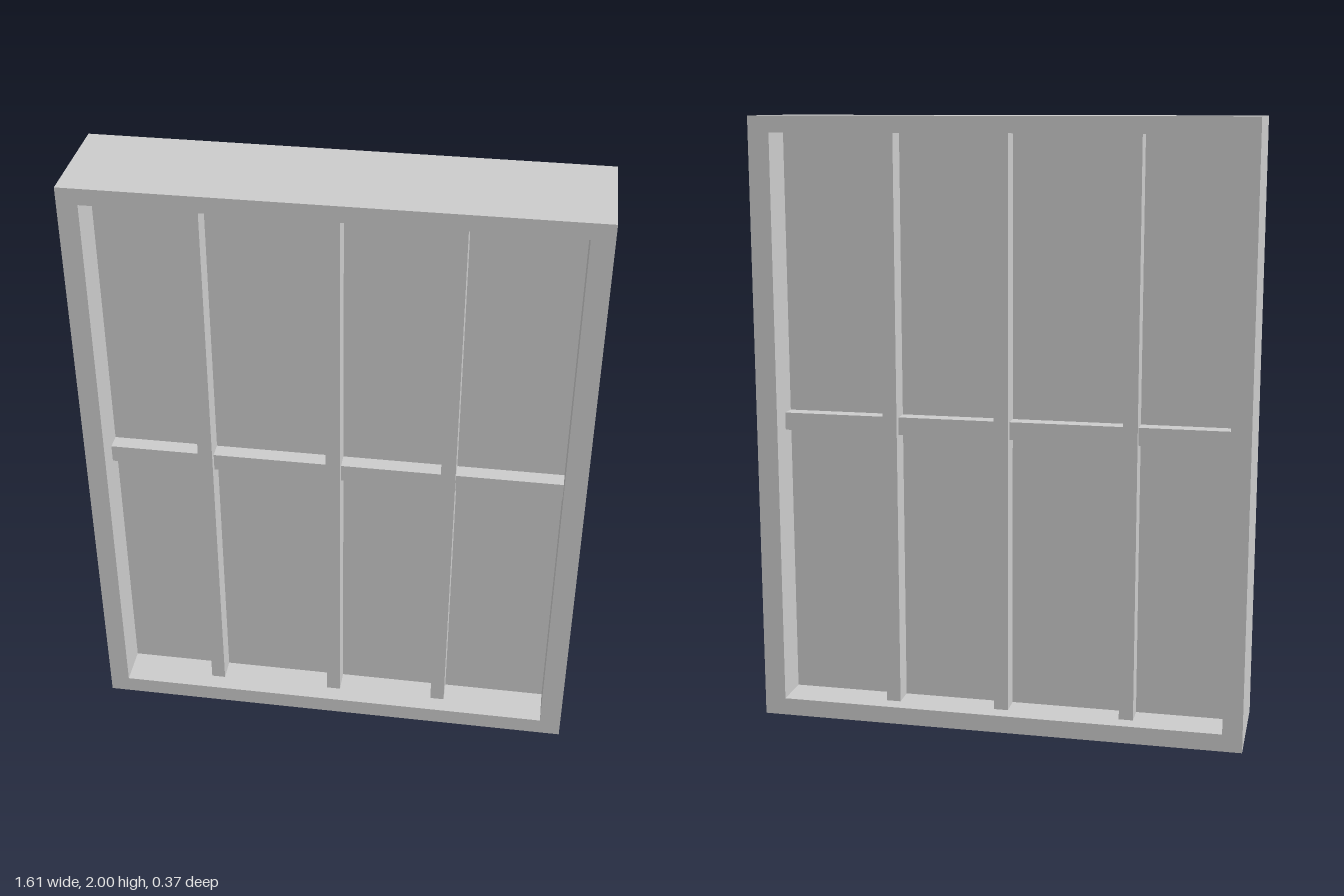
import * as THREE from 'three';

export function createModel() {
  const group = new THREE.Group();
  const material = new THREE.MeshStandardMaterial({ color: 0xcccccc, flatShading: true });

  // Opening inside the frame
  const L = -0.74, R = 0.735, B = 0.058, T = 1.948;

  const add = (name, geometry) => {
    const mesh = new THREE.Mesh(geometry, material);
    mesh.name = name;
    group.add(mesh);
  };
  // Box between two x and two y values, centred on z
  const addBox = (name, x0, x1, y0, y1, depth) => {
    const geometry = new THREE.BoxGeometry(x1 - x0, y1 - y0, depth);
    add(name, geometry.translate((x0 + x1) / 2, (y0 + y1) / 2, 0));
  };
  const rectangle = (target, x0, x1, y0, y1) =>
    target.moveTo(x0, y0).lineTo(x1, y0).lineTo(x1, y1).lineTo(x0, y1).closePath();

  // Outer frame with a rectangular opening
  const outline = rectangle(new THREE.Shape(), -0.805, 0.805, 0, 2);
  outline.holes.push(rectangle(new THREE.Path(), L, R, B, T));
  const frame = new THREE.ExtrudeGeometry(outline, { depth: 0.37, bevelEnabled: false });
  add('frame', frame.translate(0, 0, -0.185));

  // Pane in the middle of the depth
  addBox('pane', L, R, B, T, 0.108);

  // Upright bars, standing proud on both sides of the pane
  const uprights = [[-0.445, -0.398], [-0.026, 0.021], [0.345, 0.392]];
  uprights.forEach(([x0, x1]) => addBox('uprightBar', x0, x1, B, T, 0.258));

  // Shallower cross bars between the uprights
  const stops = [L, ...uprights.flat(), R];
  for (let i = 0; i < stops.length; i += 2) {
    addBox('crossBar', stops[i], stops[i + 1], 0.974, 1.032, 0.214);
  }
  return group;
}
